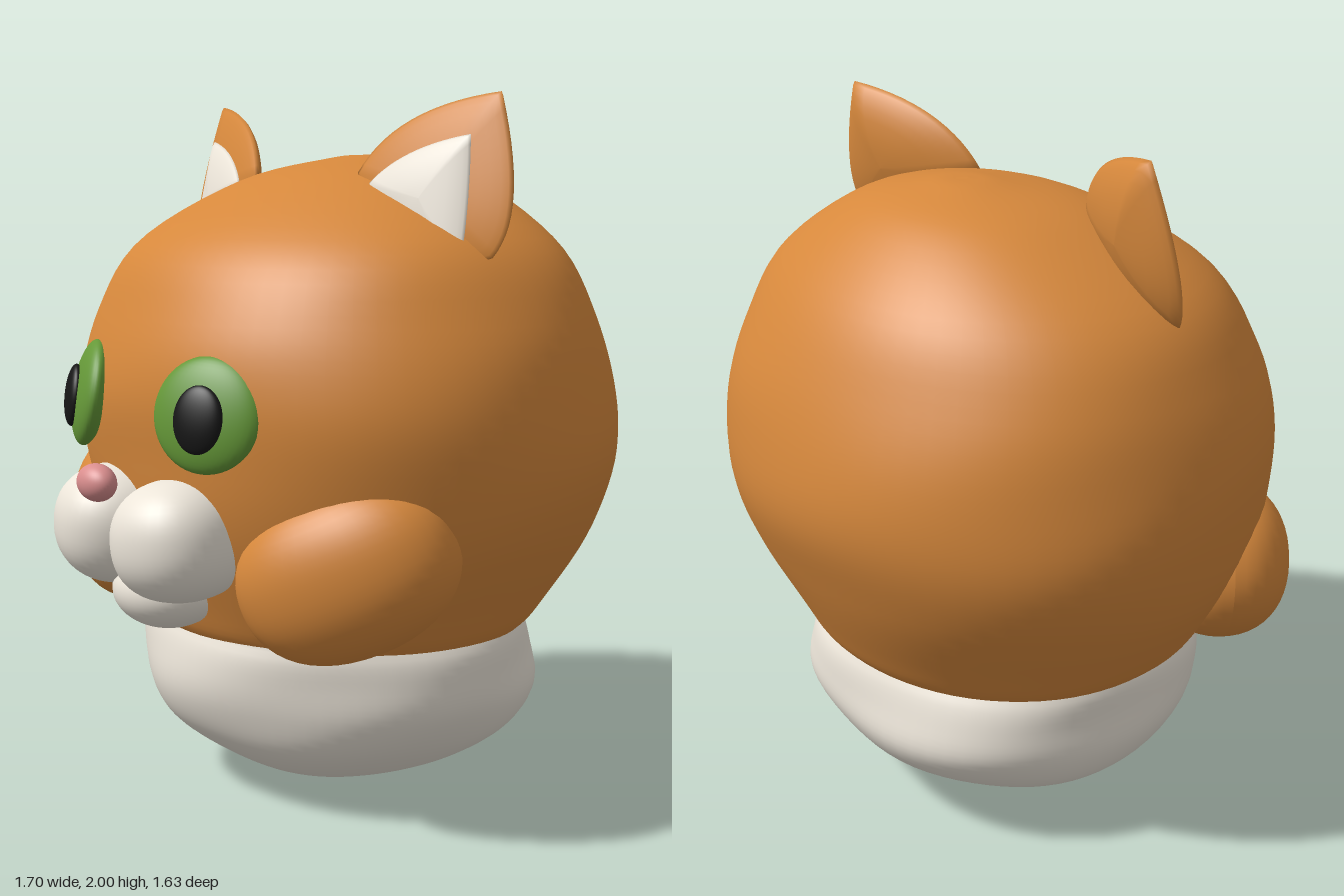
import * as THREE from 'three';

const mat = (color) => new THREE.MeshStandardMaterial({ color });
const orange = mat(0xd6883c), white = mat(0xece5d9), green = mat(0x659838);
const black = mat(0x161616), pink = mat(0xda8e8e);

function add(parent, name, geometry, material) {
  const mesh = new THREE.Mesh(geometry, material);
  mesh.name = name;
  parent.add(mesh);
  return mesh;
}

// Smooth skin over a list of closed rings with equal point counts
function skin(rings) {
  const n = rings[0].length, index = [];
  for (let i = 0; i < rings.length - 1; i++) {
    for (let j = 0; j < n; j++) {
      const k = (j + 1) % n, a = i * n, b = a + n;
      index.push(a + j, b + j, b + k, a + j, b + k, a + k);
    }
  }
  const geometry = new THREE.BufferGeometry().setFromPoints(rings.flat());
  geometry.setIndex(index);
  geometry.computeVertexNormals();
  return geometry;
}

// Slightly lumpy volume from rows of [y, half width, front z, back z], top to bottom;
// a power above 2 makes the plan boxier
function stack(rows, power, lump) {
  const curve = (zi) => new THREE.CatmullRomCurve3(
    rows.map((r) => new THREE.Vector3(r[1], r[0], r[zi])), false, 'catmullrom');
  const front = curve(2), back = curve(3), steps = rows.length * 5, n = 72, rings = [];
  for (let i = 0; i <= steps; i++) {
    const f = front.getPoint(i / steps), b = back.getPoint(i / steps), ring = [];
    for (let j = 0; j < n; j++) {
      const t = (j / n) * Math.PI * 2, sin = Math.sin(t), cos = Math.cos(t);
      const r = (Math.abs(sin) ** power + Math.abs(cos) ** power) ** (-1 / power)
        * (1 + lump * (Math.sin(3 * t + 9 * f.y) + Math.sin(5 * t - 14 * f.y)));
      ring.push(new THREE.Vector3(Math.max(f.x, 0) * r * sin, f.y,
        (f.z + b.z) / 2 + ((f.z - b.z) / 2) * r * cos));
    }
    rings.push(ring);
  }
  return skin(rings);
}

// Ellipsoid; a power above 2 makes it boxier
function blob(parent, name, material, pos, radii, rot = [0, 0, 0], power = 2) {
  const geometry = new THREE.SphereGeometry(1, 40, 28);
  const p = geometry.attributes.position, v = new THREE.Vector3();
  for (let i = 0; i < p.count; i++) {
    v.fromBufferAttribute(p, i);
    const sum = v.toArray().reduce((s, c) => s + Math.abs(c) ** power, 0);
    v.multiplyScalar(sum ** (-1 / power));
    p.setXYZ(i, v.x, v.y, v.z);
  }
  if (power !== 2) geometry.computeVertexNormals();
  const mesh = add(parent, name, geometry, material);
  mesh.position.set(...pos);
  mesh.scale.set(...radii);
  mesh.rotation.set(...rot);
}

// Sharp-rimmed lens over an outline, lying on the slanted ear plane
function earLens(outline, front, back, lift = 0) {
  const pts = outline.getPoints(14).slice(0, -1).reverse();
  const c = pts.reduce((s, p) => s.add(p), new THREE.Vector2()).divideScalar(pts.length);
  const half = [0, 0.2, 0.4, 0.6, 0.75, 0.88, 0.96];
  const rings = [...half, 1, ...half.toReversed()].map((s, i) =>
    pts.map((p) => {
      const x = c.x + (p.x - c.x) * s, y = c.y + (p.y - c.y) * s;
      const plane = -0.09 - 0.277 * (x - 0.65) - 0.195 * (y - 2);
      const bulge = (i < half.length ? front : -back) * (1 - s * s) ** 0.75;
      return new THREE.Vector3(x, y, plane + lift + bulge);
    }));
  return skin(rings);
}

function ear() {
  const group = new THREE.Group();
  const outer = new THREE.Shape();
  outer.moveTo(0.65, 2);
  outer.quadraticCurveTo(0.785, 1.68, 0.7, 1.57);
  outer.quadraticCurveTo(0.42, 1.46, 0.24, 1.79);
  outer.quadraticCurveTo(0.33, 1.97, 0.65, 2);
  add(group, 'earShell', earLens(outer, 0.04, 0.085), orange);
  const inner = new THREE.Shape();
  inner.moveTo(0.605, 1.89);
  inner.quadraticCurveTo(0.635, 1.72, 0.635, 1.55);
  inner.quadraticCurveTo(0.42, 1.53, 0.31, 1.76);
  inner.quadraticCurveTo(0.4, 1.86, 0.605, 1.89);
  add(group, 'innerEar', earLens(inner, 0.035, 0.02, 0.032), white);
  return group;
}

export function createModel() {
  const model = new THREE.Group();
  model.name = 'catHead';

  // Head and the pale ruff it rests on
  add(model, 'head', stack([
    [1.845, 0, -0.16, -0.16], [1.835, 0.12, -0.06, -0.27], [1.77, 0.38, 0.19, -0.45],
    [1.6, 0.66, 0.48, -0.63], [1.4, 0.785, 0.605, -0.735], [1.2, 0.84, 0.66, -0.795],
    [1.0, 0.845, 0.645, -0.805], [0.8, 0.79, 0.605, -0.74], [0.6, 0.67, 0.53, -0.64],
    [0.5, 0.59, 0.48, -0.58], [0.47, 0.5, 0.4, -0.5], [0.46, 0, -0.05, -0.05],
  ], 2.09, 0.003), orange);
  add(model, 'ruff', stack([
    [0.57, 0, -0.05, -0.05], [0.56, 0.5, 0.42, -0.5], [0.5, 0.585, 0.485, -0.575],
    [0.4, 0.6, 0.5, -0.605], [0.3, 0.595, 0.485, -0.61], [0.2, 0.535, 0.435, -0.545],
    [0.12, 0.43, 0.345, -0.435], [0.06, 0.3, 0.23, -0.32], [0.02, 0.16, 0.11, -0.19],
    [0.005, 0.08, 0.03, -0.11], [0, 0, -0.04, -0.04],
  ], 2.15, 0.011), white);

  // Paired features
  for (const [side, s] of [['left', 1], ['right', -1]]) {
    const e = ear();
    e.name = side + 'Ear';
    e.scale.x = s;
    model.add(e);
    blob(model, side + 'Eye', green, [s * 0.305, 1.167, 0.612],
      [0.162, 0.155, 0.05], [-0.2, s * 0.42, 0]);
    blob(model, side + 'Pupil', black, [s * 0.326, 1.16, 0.655],
      [0.074, 0.09, 0.026], [-0.14, s * 0.42, 0]);
    blob(model, side + 'Cheek', orange, [s * 0.535, 0.753, 0.327],
      [0.31, 0.232, 0.2], [0, s * 0.62, s * 0.42], 2.2);
    blob(model, side + 'Muzzle', white, [s * 0.157, 0.81, 0.6],
      [0.18, 0.168, 0.192], [0, s * 0.25, s * 0.1], 2.3);
  }

  // Chin and nose
  blob(model, 'chin', white, [0, 0.64, 0.55], [0.168, 0.11, 0.15]);
  blob(model, 'nose', pink, [0, 0.963, 0.77], [0.072, 0.052, 0.048]);
  return model;
}
